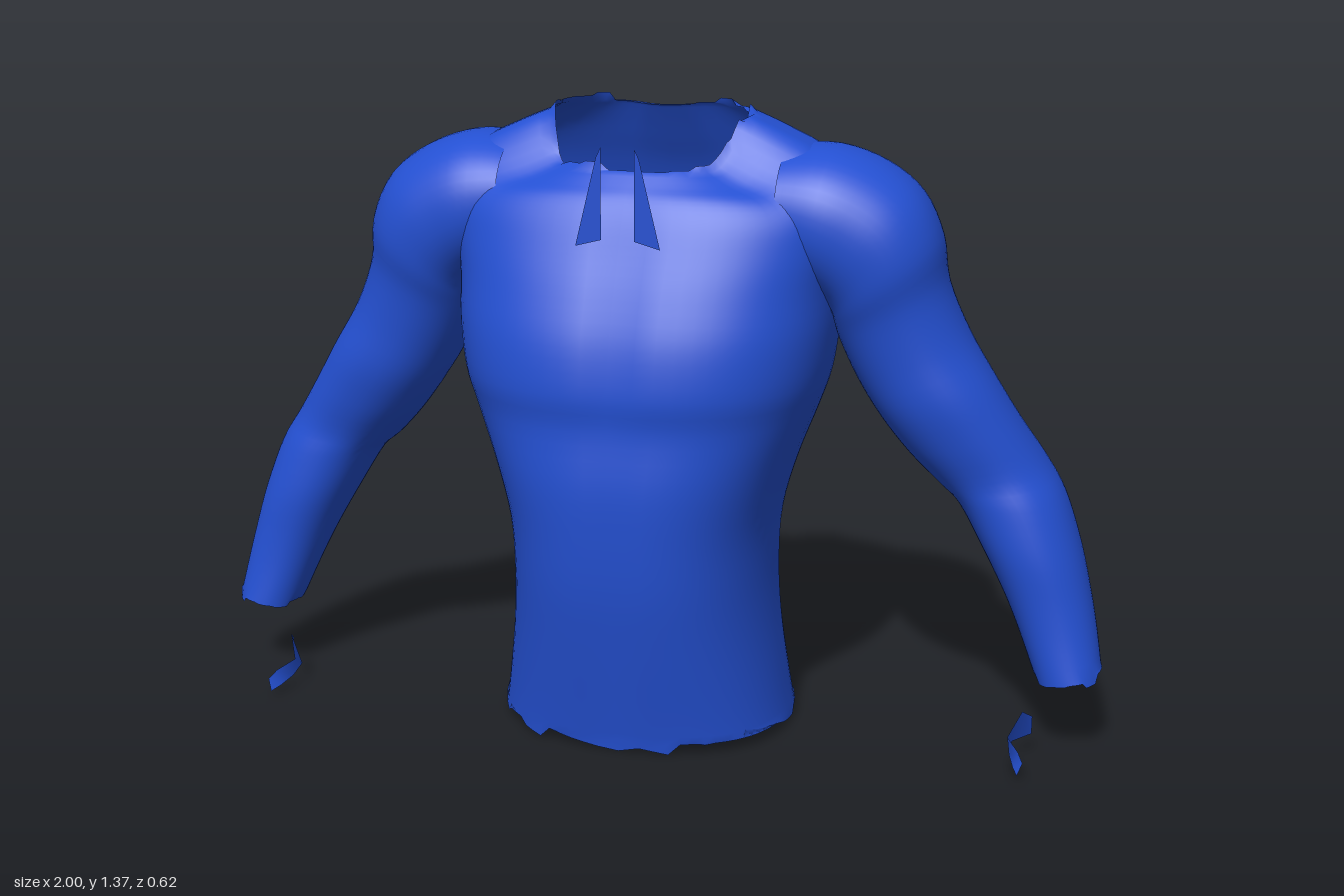
import * as THREE from 'three';

const SEG = 72;
const fabric = new THREE.MeshStandardMaterial({ color: 0x2450d2, side: THREE.DoubleSide });
fabric.name = 'blue fabric';

// Small repeatable noise for the torn edges, 0..1
const noise = (n) => { const s = Math.sin(n * 127.1 + 3.7) * 43758.5453; return s - Math.floor(s); };
const bell = (x, width) => Math.exp(-((x / width) ** 2));
const power = (v, p) => Math.sign(v) * Math.abs(v) ** p;

// Inserts smooth in-between rows into a table of section values
function refine(rows, steps) {
  const out = [];
  for (let i = 0; i < rows.length - 1; i++) {
    const [a, b, c, d] = [rows[Math.max(i - 1, 0)], rows[i], rows[i + 1], rows[Math.min(i + 2, rows.length - 1)]];
    for (let k = 0; k < steps; k++) {
      const t = k / steps;
      out.push(b.map((v, j) => v + 0.5 * t * (c[j] - a[j]
        + t * (2 * a[j] - 5 * v + 4 * c[j] - d[j] + t * (3 * (v - c[j]) + d[j] - a[j])))));
    }
  }
  out.push(rows[rows.length - 1]);
  return out;
}

// Skins a list of rings (closed) or strips (open) with smooth normals
function skin(rings, closed, flip) {
  const n = rings[0].length;
  const index = [];
  for (let r = 0; r < rings.length - 1; r++) {
    for (let i = 0; i < (closed ? n : n - 1); i++) {
      const a = r * n + i, b = r * n + (i + 1) % n, c = a + n, d = b + n;
      index.push(...(flip ? [a, b, c, b, d, c] : [a, c, b, b, c, d]));
    }
  }
  const geo = new THREE.BufferGeometry();
  geo.setAttribute('position', new THREE.Float32BufferAttribute(rings.flat(2), 3));
  geo.setIndex(index);
  geo.computeVertexNormals();
  return geo;
}

function addMesh(group, name, geo) {
  const mesh = new THREE.Mesh(geo, fabric);
  mesh.name = name;
  group.add(mesh);
}

// Torso sections: y, half width, front z, back z, spine groove, chest groove, drop of the front
const TORSO = [
  [0.02, 0.325, 0.225, -0.255, 0.01, 0.000, 0],
  [0.10, 0.312, 0.242, -0.235, 0.015, 0.002, 0],
  [0.25, 0.293, 0.275, -0.175, 0.03, 0.006, 0],
  [0.38, 0.286, 0.300, -0.160, 0.035, 0.008, 0],
  [0.50, 0.293, 0.312, -0.175, 0.035, 0.008, 0],
  [0.62, 0.325, 0.316, -0.200, 0.035, 0.007, 0],
  [0.74, 0.370, 0.305, -0.235, 0.035, 0.006, 0],
  [0.82, 0.395, 0.313, -0.262, 0.035, 0.010, 0],
  [0.92, 0.408, 0.298, -0.297, 0.04, 0.012, 0],
  [1.02, 0.412, 0.262, -0.316, 0.045, 0.010, 0.005],
  [1.12, 0.425, 0.222, -0.305, 0.045, 0.008, 0.02],
  [1.21, 0.425, 0.190, -0.272, 0.045, 0.005, 0.045],
  [1.28, 0.385, 0.165, -0.238, 0.05, 0.003, 0.075],
  [1.33, 0.290, 0.140, -0.215, 0.055, 0.000, 0.10],
  [1.365, 0.205, 0.110, -0.200, 0.06, 0.000, 0.105],
];

function torsoGeometry() {
  const rows = refine(TORSO, 4);
  const mid = -0.06;
  return skin(rows.map(([y, w, zf, zb, spine, chest, drop], r) => {
    const ring = [];
    for (let i = 0; i < SEG; i++) {
      const t = (i / SEG) * Math.PI * 2, c = Math.cos(t), s = Math.sin(t);
      const x = w * power(c, 0.8), depth = power(s, 0.8);
      let z = mid + depth * (s > 0 ? zf - mid : mid - zb);
      z += s > 0 ? -chest * bell(x, 0.04) : spine * bell(x, 0.07);
      let h = y - drop * THREE.MathUtils.smoothstep(s, 0.15, 0.75);
      // Torn hem and collar
      if (r === 0) h += (noise(Math.floor(i / 3)) - 0.3) * 0.045 + (i % 3) * 0.005;
      if (r === rows.length - 1) h += (noise(Math.floor(i / 3) + 50) - 0.5) * 0.028;
      ring.push([x, h, z]);
    }
    return ring;
  }), true, false);
}

// Arm sections: outer x, y, inner x, y, front z, back z
const ARM = [
  [0.30, 1.300, 0.30, 1.04, 0.11, -0.23],
  [0.40, 1.303, 0.36, 1.00, 0.12, -0.24],
  [0.50, 1.270, 0.39, 0.97, 0.115, -0.24],
  [0.58, 1.210, 0.40, 0.95, 0.108, -0.225],
  [0.625, 1.12, 0.405, 0.93, 0.097, -0.212],
  [0.64, 1.020, 0.415, 0.89, 0.075, -0.215],
  [0.685, 0.91, 0.45, 0.81, 0.060, -0.230],
  [0.745, 0.81, 0.50, 0.73, 0.052, -0.230],
  [0.80, 0.720, 0.56, 0.65, 0.030, -0.240],
  [0.855, 0.635, 0.625, 0.58, 0.008, -0.262],
  [0.90, 0.560, 0.67, 0.54, 0.012, -0.256],
  [0.94, 0.450, 0.725, 0.45, 0.018, -0.235],
  [0.967, 0.35, 0.78, 0.35, 0.015, -0.200],
  [0.985, 0.27, 0.82, 0.265, 0.018, -0.170],
  [1.00, 0.190, 0.86, 0.17, 0.028, -0.140],
];

function armGeometry(side) {
  const rows = refine(ARM, 4);
  return skin(rows.map(([ox, oy, ix, iy, zf, zb], r) => {
    const ring = [];
    for (let i = 0; i < 48; i++) {
      const t = (i / 48) * Math.PI * 2, k = (1 + power(Math.cos(t), 0.93)) / 2;
      const torn = r === rows.length - 1 ? (noise(Math.floor(i / 4) + 20) - 0.5) * 0.02 : 0;
      ring.push([
        side * (ix + (ox - ix) * k),
        iy + (oy - iy) * k + torn,
        (zf + zb) / 2 + (zf - zb) / 2 * power(Math.sin(t), 0.93),
      ]);
    }
    return ring;
  }), true, side > 0);
}

// Loose torn scrap below each cuff: upper and lower edge points
const SCRAP = [
  [[0.862, 0.090, -0.01], [0.862, 0.050, -0.01]],
  [[0.845, 0.120, 0.04], [0.825, 0.045, 0.03]],
  [[0.820, 0.075, 0.08], [0.825, 0.035, 0.08]],
  [[0.848, 0.060, 0.12], [0.838, 0.025, 0.12]],
  [[0.860, 0.045, 0.14], [0.850, 0.020, 0.15]],
];

export function createModel() {
  const group = new THREE.Group();
  group.name = 'muscular shirt';
  addMesh(group, 'torso', torsoGeometry());

  for (const side of [1, -1]) {
    const label = side > 0 ? 'left' : 'right';
    addMesh(group, label + 'Sleeve', armGeometry(side));

    const scrap = SCRAP.map((pair) => pair.map(([x, y, z]) => [side * x, y, z]));
    addMesh(group, label + 'CuffScrap', skin(scrap, false, side < 0));

    // Thin pointed strip standing in front of the collar
    const strip = [
      [[side * 0.035, 1.13, 0.216], [side * 0.09, 1.115, 0.216]],
      [[side * 0.035, 1.32, 0.216], [side * 0.045, 1.30, 0.216]],
    ];
    addMesh(group, label + 'CollarStrip', skin(strip, false, side > 0));
  }
  return group;
}
